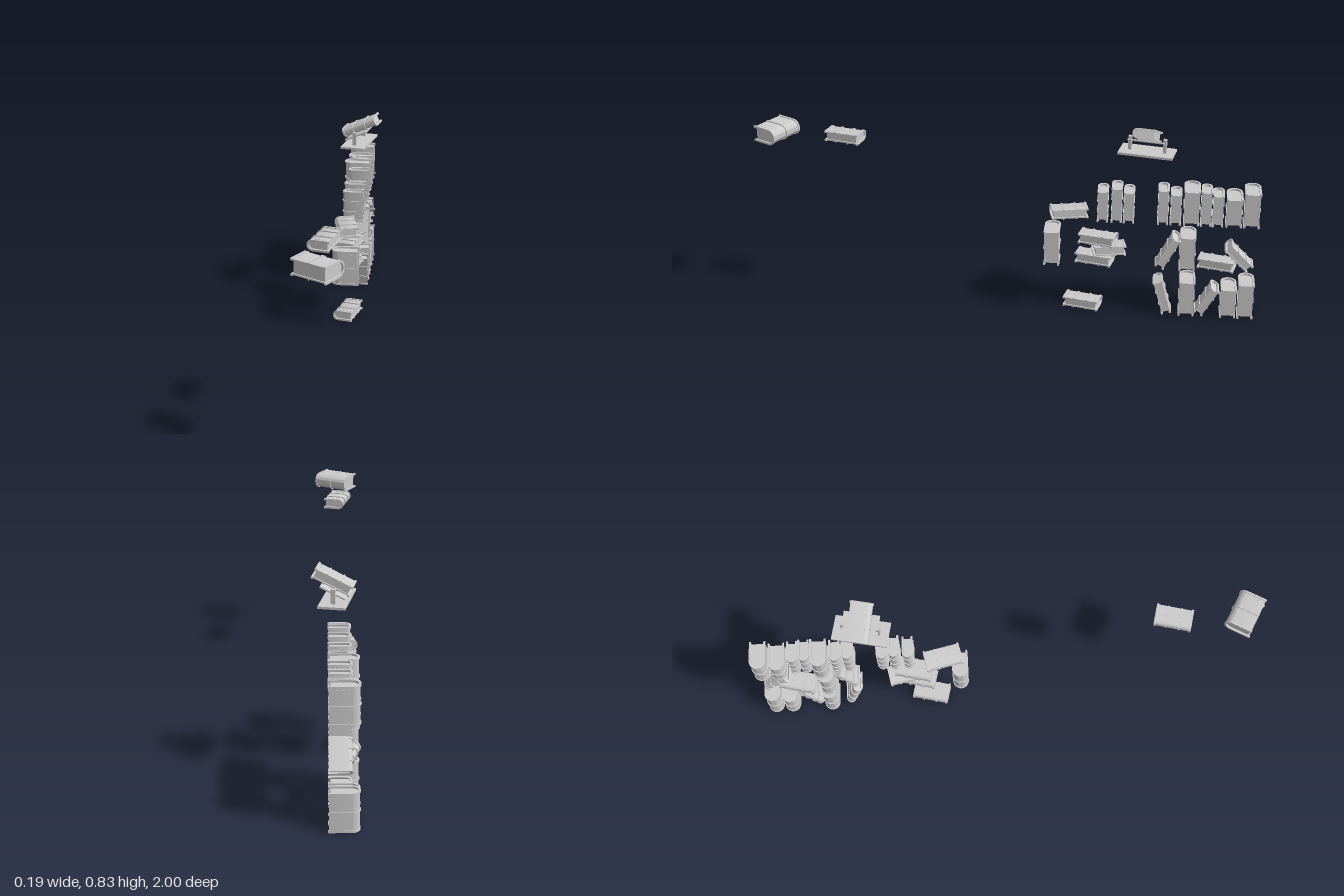
import * as THREE from 'three';
import { toCreasedNormals } from 'three/addons/utils/BufferGeometryUtils.js';

const mat = new THREE.MeshStandardMaterial({ color: 0xcccccc });

// Extrude a plan-view shape upwards by h, centred on y
function upright(shape, h) {
  const g = new THREE.ExtrudeGeometry(shape, { depth: h, bevelEnabled: false, curveSegments: 12 });
  g.translate(0, 0, -h / 2).rotateX(-Math.PI / 2);
  return toCreasedNormals(g, 0.6);
}

// Plan of a book: round spine at x0, straight sides to x1; wall w makes it hollow and open at x1
function bookPlan(x0, x1, half, w) {
  const s = new THREE.Shape();
  const cx = x0 + half;
  s.moveTo(x1, -half);
  s.lineTo(cx, -half);
  s.absarc(cx, 0, half, -Math.PI / 2, Math.PI / 2, true);
  s.lineTo(x1, half);
  if (w) {
    s.lineTo(x1, half - w);
    s.absarc(cx, 0, half - w, Math.PI / 2, Math.PI * 1.5, false);
    s.lineTo(x1, -half + w);
  }
  s.closePath();
  return s;
}

function add(group, name, geometry, x = 0, y = 0, z = 0) {
  const m = new THREE.Mesh(geometry, mat);
  m.name = name;
  m.position.set(x, y, z);
  group.add(m);
  return m;
}

// Book centred on its origin: height y, spine towards -x, thickness z
function makeBook({ h, d, t, bands }) {
  const g = new THREE.Group();
  g.name = 'book';
  const lip = 0.003, x0 = -d / 2, x1 = d / 2, half = t / 2;
  add(g, 'cover', upright(bookPlan(x0 + lip, x1 - lip, half - lip, 0.005), h - 0.004));
  add(g, 'pages', upright(bookPlan(x0 + 0.006, x1 - 0.008, half - 0.007), h - 0.016));
  const rim = upright(bookPlan(x0, x1, half, 0.008), 0.008);
  for (const s of [-1, 1]) add(g, 'endRim', rim, 0, s * (h / 2 - 0.004), 0);
  const band = upright(bookPlan(x0 - 0.001, x1 - 0.002, half + 0.0005, 0.005), 0.005);
  for (const b of bands) add(g, 'spineBand', band, 0, b * h, 0);
  // Short stitches across both covers
  const stitch = new THREE.BoxGeometry(0.007, 0.002, t - 0.003);
  for (const s of [-1, 1])
    for (let i = 0; i < 4; i++) {
      const x = x0 + half + (i + 0.5) * (d - half) / 4;
      // split per cover so that the page block stays clear
      for (const side of [-1, 1]) {
        const m = add(g, 'stitch', stitch, x, s * (h / 2 - 0.016), side * (half - 0.003));
        m.scale.z = 0.002 / (t - 0.003);
      }
    }
  return g;
}

const WIDE = { h: 0.15, d: 0.113, t: 0.064, bands: [0] };
const SLIM = { h: 0.148, d: 0.087, t: 0.044, bands: [-0.18, 0.18] };
const FORE = 0.036;   // x of the aligned fore edges

export function createModel() {
  const model = new THREE.Group();
  model.name = 'scatteredBooks';

  const place = (spec, name, x, y, z, pitch = 0, yaw = 0) => {
    const b = makeBook(spec);
    b.name = name;
    b.rotation.set(pitch, yaw, 0, 'YXZ');
    b.position.set(x, y, z);
    model.add(b);
    return b;
  };
  const stand = (spec, base, z, h) =>
    place({ ...spec, h }, 'standingBook', FORE - spec.d / 2, base + h / 2, z);
  const lean = (base, z, h, tilt, t = 0.04) => {
    const y = base + (h * Math.cos(tilt) + t * Math.abs(Math.sin(tilt))) / 2;
    place({ ...SLIM, h, t }, 'leaningBook', FORE - SLIM.d / 2, y, z, tilt);
  };
  const lie = (x, base, z, yaw, h = 0.146) =>
    place({ ...SLIM, h, d: 0.084, t: 0.043 }, 'lyingBook', x, base + 0.0215, z, Math.PI / 2, yaw);

  // Bottom row
  stand(WIDE, 0.003, -0.967, 0.153);
  stand(WIDE, 0.003, -0.898, 0.128);
  stand(WIDE, 0.003, -0.731, 0.153);
  lean(0.004, -0.811, 0.13, -0.52);
  lean(0.004, -0.632, 0.147, 0.28);
  lie(-0.023, 0.003, -0.31, -0.24);

  // Middle row
  stand(WIDE, 0.205, -0.183, 0.15);
  stand(WIDE, 0.205, -0.725, 0.15);
  lean(0.207, -0.647, 0.143, -0.48);
  lean(0.21, -0.929, 0.125, 0.785);
  lie(-0.023, 0.206, -0.846, -0.24);
  lie(-0.023, 0.206, -0.356, -0.24);
  lie(-0.023, 0.249, -0.41, 0.2, 0.13);
  lie(-0.023, 0.292, -0.367, -0.24);

  // Top row
  stand(WIDE, 0.408, -0.967, 0.148);
  stand(WIDE, 0.408, -0.898, 0.122);
  stand(WIDE, 0.408, -0.732, 0.148);
  for (const [z, h] of [[-0.835, 0.134], [-0.789, 0.148], [-0.67, 0.132], [-0.62, 0.148],
    [-0.486, 0.132], [-0.438, 0.148], [-0.383, 0.132]]) stand(SLIM, 0.408, z, h);
  lie(-0.022, 0.406, -0.247, 0.22);

  // Two books lying by themselves at the front
  lie(-0.01, 0.699, 0.642, -0.25, 0.142);
  place({ ...WIDE, h: 0.148, d: 0.108 }, 'wideLyingBook', -0.004, 0.729, 0.915, Math.PI / 2, -2.09);

  // Display stand with a tilted book
  const display = new THREE.Group();
  display.name = 'displayStand';
  display.position.set(0.002, 0.7, -0.548);
  display.rotation.y = -0.2;
  add(display, 'basePlate', new THREE.BoxGeometry(0.1, 0.009, 0.215), 0, 0.0045, 0);
  for (const s of [-1, 1])
    add(display, 'post', new THREE.BoxGeometry(0.016, 0.055, 0.013), 0, 0.036, s * 0.069);
  const tilted = new THREE.Group();
  tilted.name = 'tiltedRest';
  tilted.position.set(0.01, 0.078, 0);
  tilted.rotation.z = 0.43;
  add(tilted, 'restBoard', new THREE.BoxGeometry(0.1, 0.006, 0.14), -0.018, -0.025, 0);
  const shown = makeBook({ ...SLIM, h: 0.152, d: 0.09, t: 0.042 });
  shown.name = 'displayedBook';
  shown.rotation.set(Math.PI / 2, Math.PI / 2, 0, 'YXZ');
  tilted.add(shown);
  display.add(tilted);
  model.add(display);

  return model;
}
